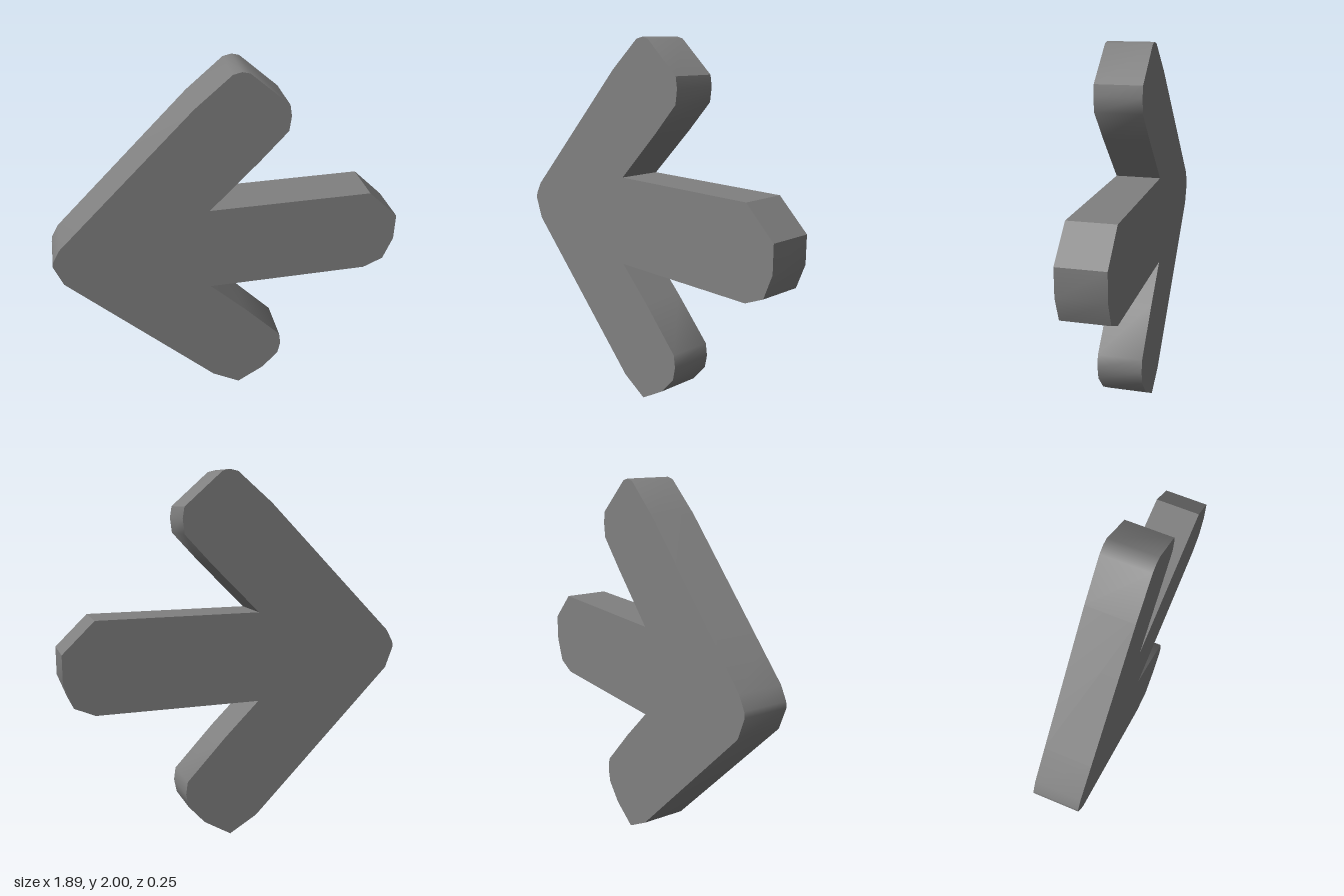
import * as THREE from 'three';
import { toCreasedNormals } from 'three/addons/utils/BufferGeometryUtils.js';

const DEPTH = 0.25;

// Arrow outline, counter-clockwise from the left tip
const OUTLINE = [
  // tip and lower barb
  [-0.945, 1.01], [-0.9, 0.89], [-0.1, 0.09], [0.055, 0], [0.205, 0.09],
  [0.295, 0.19], [0.31, 0.265], [0.3, 0.335], [0.08, 0.57], [-0.11, 0.757],
  // shaft
  [0.785, 0.757], [0.895, 0.805], [0.945, 0.935], [0.945, 1.085], [0.775, 1.25], [-0.11, 1.25],
  // upper barb
  [0.155, 1.515], [0.3, 1.67], [0.31, 1.75], [0.3, 1.81], [0.095, 1.99],
  [0.055, 2], [0.01, 1.99], [-0.18, 1.83], [-0.75, 1.26], [-0.9, 1.11], [-0.94, 1.04],
];

export function createModel() {
  const group = new THREE.Group();
  group.name = 'leftArrow';

  const grey = new THREE.MeshStandardMaterial({ color: 0x808080 });
  grey.name = 'grey';

  // Solid arrow plate, rounded corners softened and hard corners kept
  const shape = new THREE.Shape(OUTLINE.map(([x, y]) => new THREE.Vector2(x, y)));
  const plate = new THREE.ExtrudeGeometry(shape, { depth: DEPTH, bevelEnabled: false });
  plate.translate(0, 0, -DEPTH / 2);

  const arrow = new THREE.Mesh(toCreasedNormals(plate, THREE.MathUtils.degToRad(38)), grey);
  arrow.name = 'arrowPlate';
  group.add(arrow);
  return group;
}
